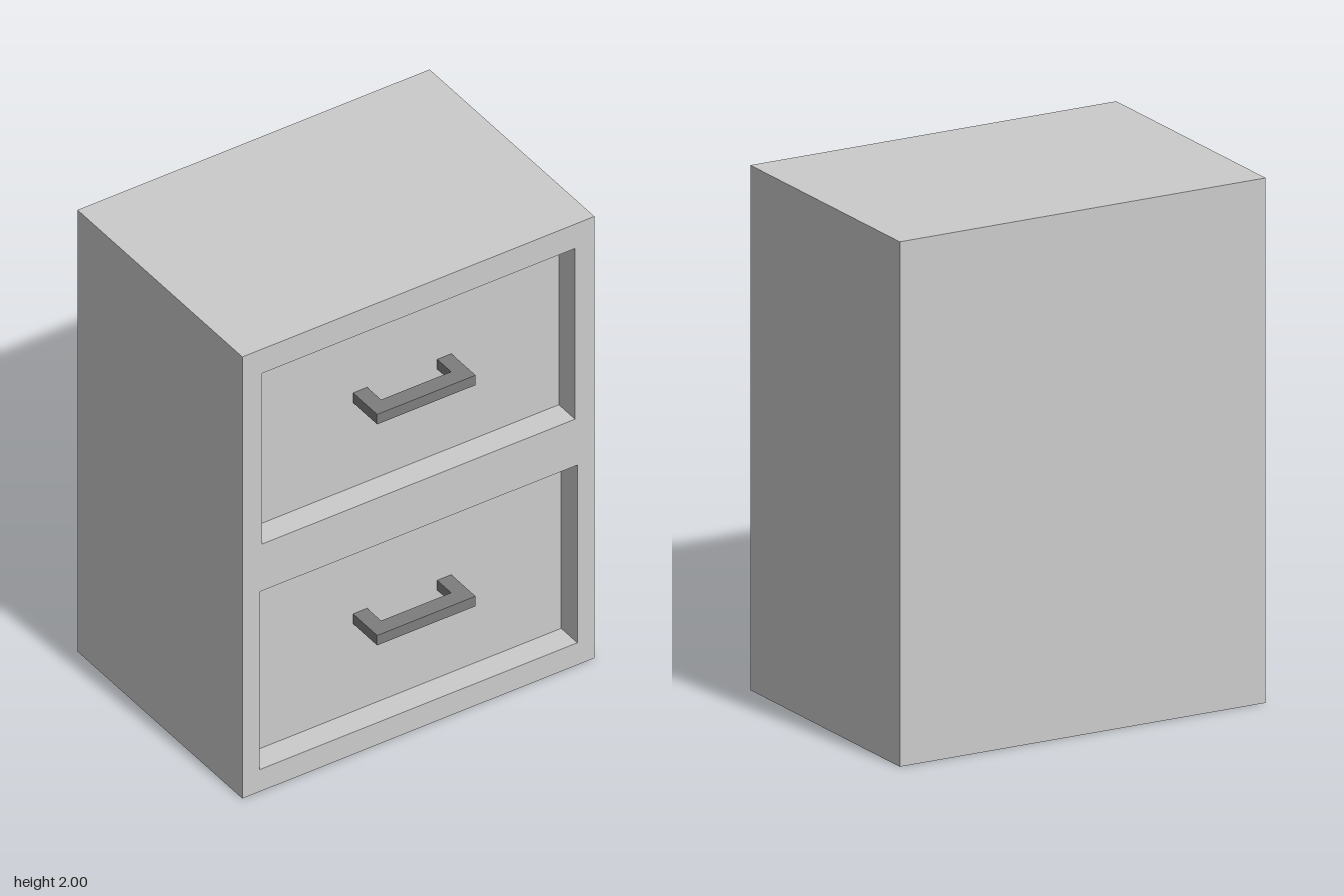
import * as THREE from 'three';

const grey = new THREE.MeshStandardMaterial({ color: 0xcccccc });
const dark = new THREE.MeshStandardMaterial({ color: 0x7d7d7d });

const HALF_W = 0.77, HEIGHT = 2;
const BACK = -0.565, PANEL = 0.407, FRONT = 0.513;

// Recessed drawer fronts: half width, bottom, top, and centre height of the handle
const drawers = [
  { name: 'lower', halfW: 0.695, y0: 0.1, y1: 0.905, handleY: 0.519 },
  { name: 'upper', halfW: 0.685, y0: 1.117, y1: 1.89, handleY: 1.52 },
];

function rect(target, halfW, y0, y1) {
  target.moveTo(-halfW, y0);
  target.lineTo(halfW, y0);
  target.lineTo(halfW, y1);
  target.lineTo(-halfW, y1);
  target.closePath();
  return target;
}

// U-shaped pull drawn in plan (x, z), extruded to its height
function makeHandle(name, y) {
  const w = 0.215, leg = 0.062, thick = 0.045, bar = 0.067;
  const depth = 0.565 - PANEL;
  const plan = new THREE.Shape([
    [-w, 0], [-w + leg, 0], [-w + leg, depth - bar], [w - leg, depth - bar],
    [w - leg, 0], [w, 0], [w, depth], [-w, depth],
  ].map(([x, z]) => new THREE.Vector2(x, z)));
  const geometry = new THREE.ExtrudeGeometry(plan, { depth: thick, bevelEnabled: false });
  geometry.rotateX(Math.PI / 2); // plan y becomes z, extrusion points down
  const handle = new THREE.Mesh(geometry, dark);
  handle.name = name;
  handle.position.set(0, y + thick / 2, PANEL);
  return handle;
}

export function createModel() {
  const group = new THREE.Group();
  group.name = 'drawerCabinet';

  // Solid carcass; its front face forms the recessed drawer panels
  const carcass = new THREE.Mesh(new THREE.BoxGeometry(HALF_W * 2, HEIGHT, PANEL - BACK), grey);
  carcass.name = 'carcass';
  carcass.position.set(0, HEIGHT / 2, (PANEL + BACK) / 2);
  group.add(carcass);

  // Front frame with one opening per drawer
  const outline = rect(new THREE.Shape(), HALF_W, 0, HEIGHT);
  for (const d of drawers) outline.holes.push(rect(new THREE.Path(), d.halfW, d.y0, d.y1));
  const frame = new THREE.Mesh(
    new THREE.ExtrudeGeometry(outline, { depth: FRONT - PANEL, bevelEnabled: false }), grey);
  frame.name = 'frontFrame';
  frame.position.z = PANEL;
  group.add(frame);

  // Handles
  for (const d of drawers) group.add(makeHandle(d.name + 'Handle', d.handleY));

  return group;
}
